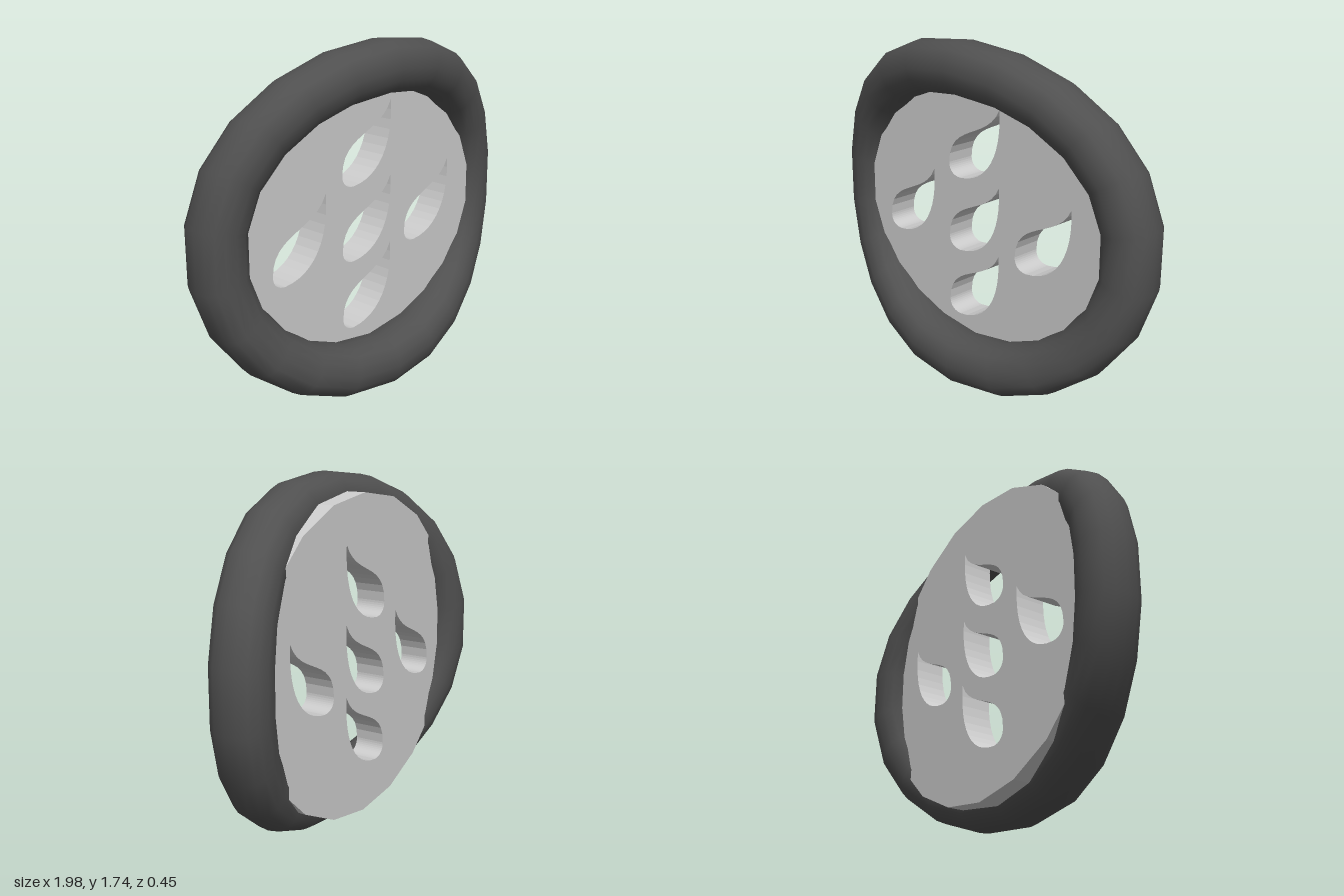
import * as THREE from 'three';

const CY = 0.87;
const spow = (v, e) => Math.sign(v) * Math.abs(v) ** e;

// Saddle-bent ring: a rounded section swept round a slightly squared ellipse
function ringGeometry(segments = 22, sides = 16) {
  const pos = [], index = [];
  const rx = 0.873, ry = 0.743;
  const path = (t) => [rx * spow(Math.cos(t), 0.93), ry * spow(Math.sin(t), 0.93)];
  for (let i = 0; i < segments; i++) {
    const t = Math.PI / 2 + (i / segments) * Math.PI * 2;
    const [x, y] = path(t);
    const n = new THREE.Vector2(x / rx ** 2, y / ry ** 2).normalize();
    const z = 0.088 - 0.178 * (x / rx) ** 2;
    for (let j = 0; j < sides; j++) {
      const a = (j / sides) * Math.PI * 2;
      const r = 0.128 * spow(Math.cos(a), 0.88);
      const d = 0.138 * spow(Math.sin(a), 0.88);
      pos.push(x + n.x * r, CY + y + n.y * r, z + d);
      const i2 = (i + 1) % segments, j2 = (j + 1) % sides;
      const p = i * sides + j, q = i2 * sides + j;
      const p2 = i * sides + j2, q2 = i2 * sides + j2;
      index.push(p, q, p2, q, q2, p2);
    }
  }
  const geo = new THREE.BufferGeometry();
  geo.setAttribute('position', new THREE.Float32BufferAttribute(pos, 3));
  geo.setIndex(index);
  geo.computeVertexNormals();
  return geo;
}

// Curved teardrop hole with its tip at the upper right
function dropHole(dx, dy) {
  const p = new THREE.Path();
  const at = (x, y) => [x + dx, y + dy];
  p.moveTo(...at(0.155, 1.045));
  p.bezierCurveTo(...at(0.08, 0.88), ...at(-0.185, 0.93), ...at(-0.185, 0.725));
  p.bezierCurveTo(...at(-0.185, 0.68), ...at(-0.15, 0.66), ...at(-0.11, 0.66));
  p.bezierCurveTo(...at(0.08, 0.67), ...at(0.17, 0.83), ...at(0.155, 1.045));
  return p;
}

// Flat oval plate with five teardrop openings
function plateGeometry(sides = 20) {
  const outline = [];
  for (let i = 0; i < sides; i++) {
    const t = Math.PI / 2 + (i / sides) * Math.PI * 2;
    outline.push(new THREE.Vector2(0.85 * Math.cos(t), 0.8625 + 0.7875 * Math.sin(t)));
  }
  const shape = new THREE.Shape(outline);
  for (const [dx, dy] of [[0, 0], [0, 0.38], [0, -0.35], [-0.45, 0], [0.447, 0]]) {
    shape.holes.push(dropHole(dx, dy));
  }
  const geo = new THREE.ExtrudeGeometry(shape, { depth: 0.155, bevelEnabled: false, curveSegments: 12 });
  return geo.translate(0, 0, -0.143);
}

export function createModel() {
  const model = new THREE.Group();
  const add = (name, geometry, color) => {
    const mesh = new THREE.Mesh(geometry, new THREE.MeshStandardMaterial({ color }));
    mesh.name = name;
    model.add(mesh);
  };
  add('outerRing', ringGeometry(), 0x505050);
  add('piercedPlate', plateGeometry(), 0xcccccc);
  return model;
}
